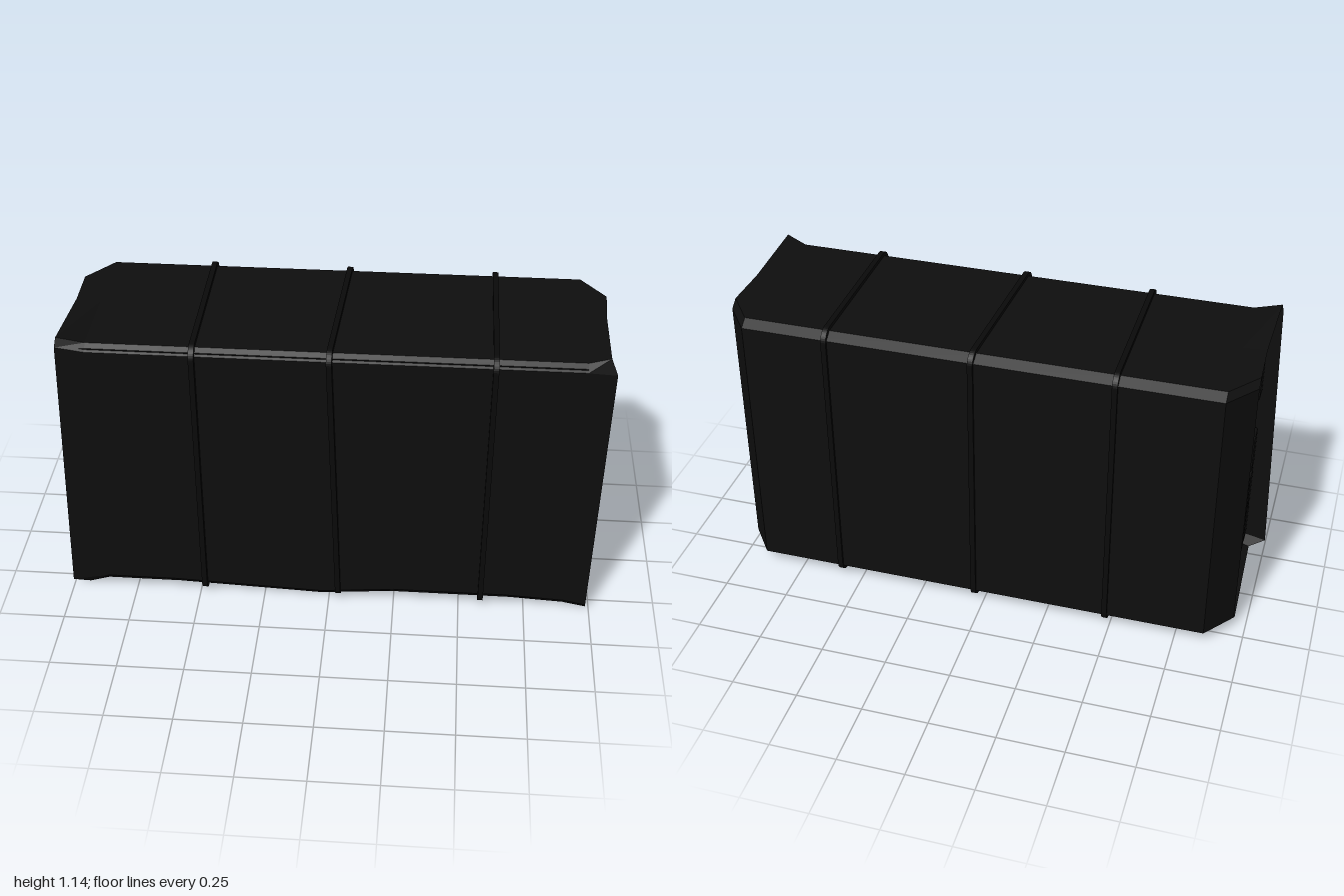
import * as THREE from 'three';
import { RoundedBoxGeometry } from 'three/addons/geometries/RoundedBoxGeometry.js';

const tarpMat = new THREE.MeshStandardMaterial({ color: 0x0e0e0e, side: THREE.DoubleSide });
tarpMat.name = 'black tarp';
const strapMat = new THREE.MeshStandardMaterial({ color: 0x0a0a0a });
strapMat.name = 'dark strap';
const brickMat = new THREE.MeshStandardMaterial({ color: 0x0e0e0e });
brickMat.name = 'black brick';

function addMesh(parent, name, geometry, material) {
  const mesh = new THREE.Mesh(geometry, material);
  mesh.name = name;
  parent.add(mesh);
  return mesh;
}

// Cross-section of the wrapped sheet; sag lowers the front bottom edge
const section = (x, sag = 0) => [
  [x, 0.06 - sag, 0.315], [x, 1.085, 0.315], [x, 1.11, 0.29], [x, 1.11, 0],
  [x, 1.11, -0.29], [x, 1.085, -0.325], [x, 0.05, -0.325], [x, 0.025, -0.29],
  [x, 0.028, 0], [x, 0.03 - sag, 0.29],
];

// Loose, open ends of the sheet: flared corners at the front, folded in at the back
const rightEnd = [
  [0.985, 0.03, 0.315], [1.0, 1.08, 0.315], [0.975, 1.138, 0.3], [0.98, 1.115, 0],
  [0.99, 1.11, -0.17], [0.99, 1.085, -0.205], [0.99, 0.05, -0.205], [0.99, 0.025, -0.17],
  [0.98, 0.025, 0], [0.99, 0.0, 0.29],
];
const leftEnd = [
  [-1.0, 0.03, 0.315], [-0.965, 1.1, 0.315], [-0.96, 1.133, 0.3], [-0.95, 1.115, 0],
  [-0.955, 1.11, -0.17], [-0.955, 1.085, -0.205], [-0.955, 0.05, -0.205], [-0.955, 0.025, -0.17],
  [-0.95, 0.025, 0], [-0.94, 0.005, 0.29],
];

function tarpGeometry() {
  const rings = [leftEnd, section(-0.86), section(-0.6), section(-0.03, 0.025),
    section(0.25), section(0.68), section(0.9, 0.012), rightEnd];
  const n = leftEnd.length;
  const index = [];
  for (let r = 0; r < rings.length - 1; r++) {
    for (let i = 0; i < n; i++) {
      const a = r * n + i, d = r * n + (i + 1) % n;
      index.push(a, a + n, d + n, a, d + n, d);
    }
  }
  const g = new THREE.BufferGeometry();
  g.setAttribute('position', new THREE.Float32BufferAttribute(rings.flat(2), 3));
  g.setIndex(index);
  const flat = g.toNonIndexed();
  flat.computeVertexNormals();
  return flat;
}

function roundedRect(path, w, h, r) {
  const x = w / 2, y = h / 2;
  path.moveTo(-x + r, -y);
  path.lineTo(x - r, -y);
  path.absarc(x - r, -y + r, r, -Math.PI / 2, 0);
  path.lineTo(x, y - r);
  path.absarc(x - r, y - r, r, 0, Math.PI / 2);
  path.lineTo(-x + r, y);
  path.absarc(-x + r, y - r, r, Math.PI / 2, Math.PI);
  path.lineTo(-x, -y + r);
  path.absarc(-x + r, -y + r, r, Math.PI, Math.PI * 1.5);
  return path;
}

// Closed band around the bundle; skew slants it across the front and top
function strapGeometry(skew) {
  const shape = roundedRect(new THREE.Shape(), 0.668, 1.108, 0.05);
  shape.holes.push(roundedRect(new THREE.Path(), 0.62, 1.06, 0.03));
  const g = new THREE.ExtrudeGeometry(shape, { depth: 0.02, bevelEnabled: false, curveSegments: 5 });
  g.translate(0, 0, -0.01);
  g.rotateY(Math.PI / 2);
  g.translate(0, 0.57, 0);
  const p = g.attributes.position;
  for (let i = 0; i < p.count; i++) {
    const up = p.getY(i) / 1.125, front = (p.getZ(i) + 0.334) / 0.668;
    p.setX(i, p.getX(i) + skew * (1 - up * front));
  }
  g.computeVertexNormals();
  return g;
}

export function createModel() {
  const model = new THREE.Group();
  model.name = 'wrappedBrickPallet';

  addMesh(model, 'tarp', tarpGeometry(), tarpMat);

  // Straps
  for (const [x, skew] of [[-0.48, 0], [0.002, 0.035], [0.583, 0]]) {
    addMesh(model, 'strap', strapGeometry(skew), strapMat).position.x = x;
  }

  // Brick stack inside the sheet
  const core = addMesh(model, 'brickStack', new THREE.BoxGeometry(1.8, 1.05, 0.55), brickMat);
  core.position.set(0, 0.57, 0.033);

  // Single bricks standing proud of both open ends: [z, y]
  const bricks = [
    [0.27, 1.005], [0.27, 0.828], [0.115, 0.828], [-0.11, 0.82], [0.27, 0.495],
    [0.27, 0.31], [0.192, 0.31], [0.114, 0.31],
    [0.27, 0.142], [0.192, 0.142], [0.114, 0.142], [0.036, 0.2],
  ];
  const brickGeo = new RoundedBoxGeometry(0.06, 0.168, 0.078, 2, 0.01);
  for (const side of [1, -1]) {
    for (const [z, y] of bricks) {
      addMesh(model, 'brick', brickGeo, brickMat).position.set(side * 0.892, y, z);
    }
  }
  return model;
}
